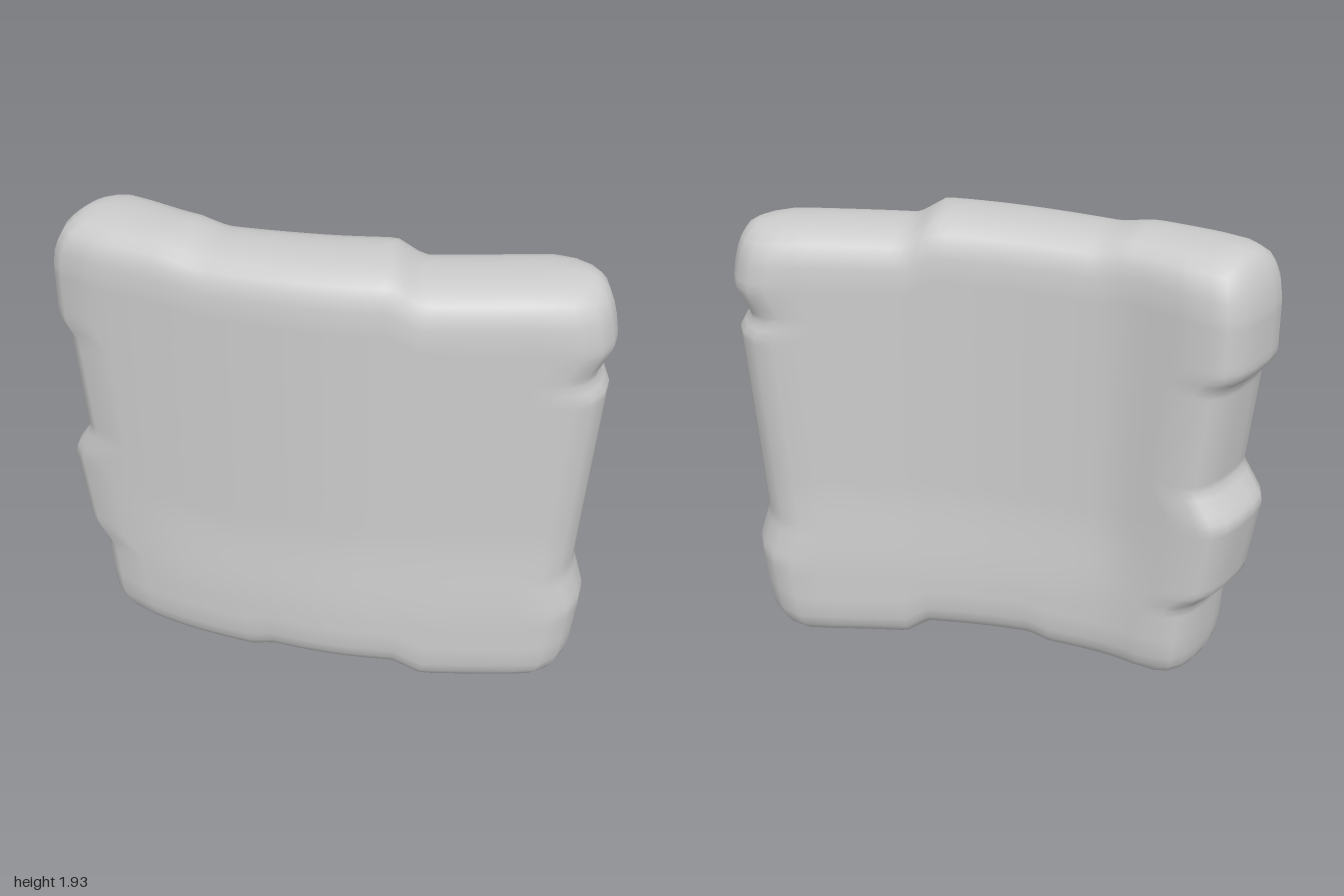
import * as THREE from 'three';
import { mergeVertices } from 'three/addons/utils/BufferGeometryUtils.js';

const { lerp, smoothstep } = THREE.MathUtils;

// Linear interpolation through [key, value] pairs, extended past the ends
function sample(table, k) {
  let i = 0;
  while (i < table.length - 2 && k > table[i + 1][0]) i++;
  const [k0, v0] = table[i], [k1, v1] = table[i + 1];
  return v0 + (v1 - v0) * (k - k0) / (k1 - k0);
}

// Bent plan of the slab: centre line z over x
const plan = new THREE.SplineCurve([
  [-1.05, 0.335], [-0.7, 0.325], [-0.4, 0.28], [0, 0.145], [0.3, -0.005], [0.55, -0.165], [1, -0.485],
].map(([x, z]) => new THREE.Vector2(x, z))).getPoints(120).map((p) => [p.x, p.y]);

// Chipped outline: side edges by height, top and bottom edges by x
const rightSide = [[0.02, -0.82], [0.1, -0.85], [0.42, -0.872], [0.49, -0.95], [0.84, -1], [0.975, -0.905],
  [1.42, -0.945], [1.49, -1], [1.75, -0.995], [1.9, -0.96]];
const leftSide = [[0.02, 0.87], [0.1, 0.9], [0.42, 0.925], [0.6, 0.885], [1.48, 0.93], [1.55, 0.89],
  [1.68, 0.94], [1.9, 0.915]];
const topEdge = [[-1, 1.915], [-0.82, 1.935], [-0.48, 1.935], [-0.36, 1.91], [0.26, 1.93], [0.35, 1.865],
  [0.75, 1.87], [0.95, 1.845]];
const bottomEdge = [[-0.9, 0.07], [-0.68, 0.045], [-0.22, 0.05], [-0.13, 0.08], [0.3, 0.07], [0.39, 0.005],
  [0.78, 0.0], [0.92, 0.05]];

// Rounded rim: [drop from the edge, share of full thickness]
const rim = [[0, 0], [0.004, 0.25], [0.01, 0.45], [0.024, 0.65], [0.052, 0.83], [0.088, 0.925], [0.135, 0.98], [0.2, 1]];

// Plan ring points: [u along the slab, n across it, inset from the end]
function makeRing(columns) {
  const caps = {
    1: [[0.125, 0.98], [0.065, 0.87], [0.022, 0.6], [0, 0.25]],
    '-1': [[0.1, 0.97], [0.045, 0.86], [0.012, 0.6], [0, 0.25]],
  };
  const ring = [];
  for (const side of [1, -1]) {
    for (let i = 0; i <= columns; i++) ring.push([side * (2 * i / columns - 1), side, 0.2]);
    for (const [inset, n] of caps[side]) ring.push([side, side * n, inset]);
    for (const [inset, n] of [...caps[side]].reverse()) ring.push([side, -side * n, inset]);
  }
  return ring;
}

function slabGeometry() {
  const ring = makeRing(44), bodyRows = 50;
  // Rows as [v, drop, thickness]: bottom rim, body, top rim
  const rows = rim.map(([d, t]) => [0, d, t]);
  for (let i = 1; i < bodyRows; i++) rows.push([i / bodyRows, 0.2, 1]);
  for (const [d, t] of [...rim].reverse()) rows.push([1, d, t]);

  const positions = [], index = [], count = ring.length;
  rows.forEach(([v, drop, thick], r) => {
    const level = lerp(0.03 + drop, 1.92 - drop, v);
    const xMin = sample(rightSide, level), xMax = sample(leftSide, level);
    for (const [u, n, inset] of ring) {
      const end = inset + (1 - thick) * 0.09;
      const x = lerp(xMin + end, xMax - end, (u + 1) / 2);
      const y = lerp(sample(bottomEdge, x) + drop, sample(topEdge, x) - drop, v);
      const z = sample(plan, x);
      const slope = (sample(plan, x + 0.03) - sample(plan, x - 0.03)) / 0.06;
      // Thicker past the bend, slightly slimmer above the foot
      const half = 0.225 + 0.022 * smoothstep(x, -0.6, 0.2)
        - 0.022 * smoothstep(x, -0.8, -0.4) * smoothstep(y, 0.35, 0.8);
      const offset = n * half * thick / Math.hypot(1, slope);
      positions.push(x - slope * offset, y, z + offset);
    }
    if (r === 0) return;
    for (let i = 0; i < count; i++) {
      const j = (i + 1) % count, a = (r - 1) * count, b = r * count;
      index.push(a + i, a + j, b + j, a + i, b + j, b + i);
    }
  });
  let geometry = new THREE.BufferGeometry();
  geometry.setAttribute('position', new THREE.Float32BufferAttribute(positions, 3));
  geometry.setIndex(index);
  // Weld the ridge lines so shading runs smoothly over them
  geometry = mergeVertices(geometry, 1e-4);
  geometry.computeVertexNormals();
  return geometry;
}

export function createModel() {
  const group = new THREE.Group();
  group.name = 'curvedStoneWall';
  const wall = new THREE.Mesh(slabGeometry(), new THREE.MeshStandardMaterial({ color: 0xcccccc }));
  wall.name = 'wallSlab';
  group.add(wall);
  return group;
}
